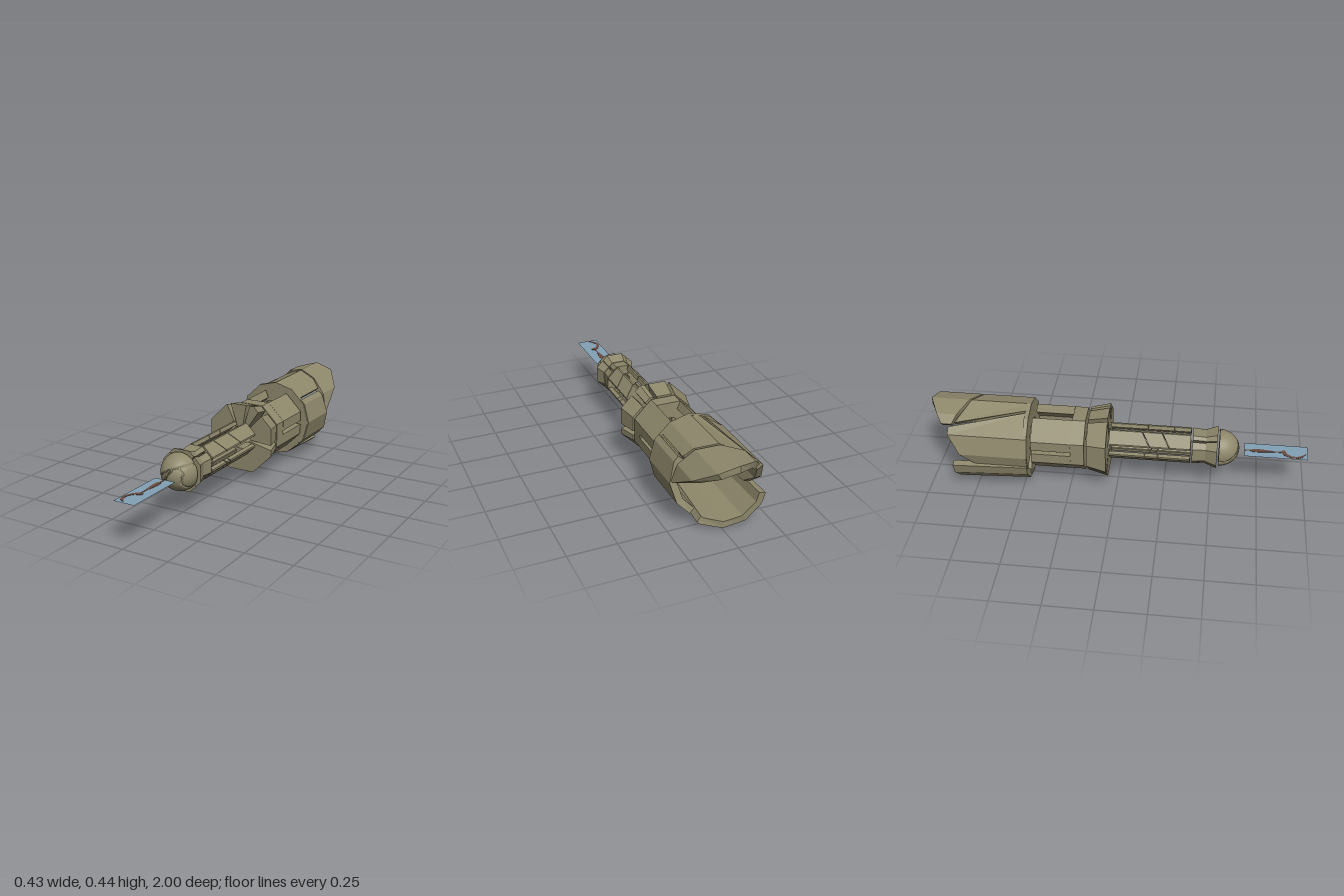
import * as THREE from 'three';

const stone = new THREE.MeshStandardMaterial({ color: 0x8e886b });
stone.name = 'weathered olive stone';
const blue = new THREE.MeshStandardMaterial({ color: 0x82a0b5, side: THREE.DoubleSide });
blue.name = 'pale blue';
const brown = new THREE.MeshStandardMaterial({ color: 0x6b4a40 });
brown.name = 'red brown';

const CX = 0.018, CY = 0.235;
const rad = Math.PI / 180;

// Curved wall piece of a polygonal tube lying along z.
// a0..a1: degrees counter-clockwise from +x; zf, zb: front and back z (number or rule of angle)
// r: apothems [outer front, outer back, inner front, inner back]
function shard(name, { sides = 8, vertexAt = 22.5, a0, a1, b0 = a0, b1 = a1, zf, zb, r, dx = 0, dy = 0 }) {
  const step = 360 / sides;
  const front = typeof zf === 'function' ? zf : () => zf;
  const back = typeof zb === 'function' ? zb : () => zb;
  const angles = [a0];
  for (let k = Math.ceil((a0 - vertexAt) / step); vertexAt + k * step < a1; k++) {
    const a = vertexAt + k * step;
    if (a > a0 + 0.5 && a < a1 - 0.5 && a > b0 + 0.5 && a < b1 - 0.5) angles.push(a);
  }
  angles.push(a1);
  const point = (ap, a, z) => {
    const off = ((((a - vertexAt) % step) + step) % step) - step / 2;
    const R = ap / Math.cos(off * rad);
    return [CX + dx + R * Math.cos(a * rad), CY + dy + R * Math.sin(a * rad), z];
  };
  const cols = angles.map((a, i) => {
    const b = i === 0 ? b0 : i === angles.length - 1 ? b1 : a;
    return [point(r[0], a, front(a)), point(r[1], b, back(b)), point(r[3], b, back(b)), point(r[2], a, front(a))];
  });
  const pos = [];
  const quad = (a, b, c, d) => pos.push(...a, ...b, ...c, ...a, ...c, ...d);
  for (let i = 0; i < cols.length - 1; i++) {
    for (let k = 0; k < 4; k++) {
      const n = (k + 1) % 4;
      quad(cols[i][k], cols[i][n], cols[i + 1][n], cols[i + 1][k]);
    }
  }
  const s = cols[0], e = cols[cols.length - 1];
  quad(s[3], s[2], s[1], s[0]);
  quad(e[0], e[1], e[2], e[3]);
  const g = new THREE.BufferGeometry();
  g.setAttribute('position', new THREE.Float32BufferAttribute(pos, 3));
  g.computeVertexNormals();
  const m = new THREE.Mesh(g, stone);
  m.name = name;
  return m;
}

// Piecewise-linear rule through [angle, z] pairs
const rule = (pts) => (a) => {
  let i = 0;
  while (i < pts.length - 2 && a > pts[i + 1][0]) i++;
  const [p, q] = [pts[i], pts[i + 1]];
  const t = Math.min(1, Math.max(0, (a - p[0]) / (q[0] - p[0])));
  return p[1] + (q[1] - p[1]) * t;
};

// Half ball with cracks sunk along polylines
function crackedBall() {
  const g = new THREE.SphereGeometry(0.097, 128, 56, 0, Math.PI * 2, 0, Math.PI / 2);
  g.rotateX(Math.PI / 2);
  const lines = [
    [[0.095, 0.052], [0.06, 0.055], [0.03, 0.045], [-0.02, 0.025], [-0.06, -0.005], [-0.09, -0.035]],
    [[0.02, 0.042], [-0.015, 0.0], [-0.035, -0.04], [-0.03, -0.095]],
    [[0.04, 0.048], [0.065, 0.02], [0.055, -0.03], [0.07, -0.07]],
  ].map((l) => l.map(([x, y]) => new THREE.Vector3(x, y, 0)));
  const p = g.attributes.position, v = new THREE.Vector3(), c = new THREE.Vector3(), seg = new THREE.Line3();
  for (let i = 0; i < p.count; i++) {
    v.fromBufferAttribute(p, i);
    const flat = new THREE.Vector3(v.x, v.y, 0);
    let d = 1;
    for (const l of lines) for (let k = 0; k + 1 < l.length; k++) {
      seg.set(l[k], l[k + 1]).closestPointToPoint(flat, true, c);
      d = Math.min(d, c.distanceTo(flat));
    }
    if (d < 0.0035) v.multiplyScalar(0.95);
    p.setXYZ(i, v.x, v.y, v.z * 1.1);
  }
  g.computeVertexNormals();
  const ball = new THREE.Group();
  ball.name = 'crackedBall';
  const back = new THREE.Mesh(new THREE.CircleGeometry(0.097, 48).rotateY(Math.PI), stone);
  back.name = 'ballBack';
  const dome = new THREE.Mesh(g, stone);
  dome.name = 'ballDome';
  ball.add(dome, back);
  ball.position.set(CX, CY, 0.535);
  return ball;
}

// Flat blue panel with a thin painted sickle on both faces
function panel() {
  const grp = new THREE.Group();
  grp.name = 'bluePanel';
  const plate = new THREE.Mesh(new THREE.PlaneGeometry(0.115, 0.33).rotateX(-Math.PI / 2), blue);
  plate.name = 'panelPlate';
  plate.position.set(0.0175, 0.232, 0.835);
  grp.add(plate);
  const paint = (name, pts) => {
    const shape = new THREE.Shape(pts.map(([x, z]) => new THREE.Vector2(x, -z)));
    const g = new THREE.ExtrudeGeometry(shape, { depth: 0.003, bevelEnabled: false });
    g.rotateX(-Math.PI / 2);
    const m = new THREE.Mesh(g, brown);
    m.name = name;
    m.position.y = 0.2305;
    grp.add(m);
  };
  paint('paintedShaft', [[0.009, 0.67], [0.009, 0.87], [0.017, 0.87], [0.017, 0.67]]);
  paint('paintedGrip', [[0.002, 0.71], [0.0, 0.75], [0.007, 0.81], [0.02, 0.81], [0.027, 0.75], [0.024, 0.71]]);
  paint('paintedBlade', [[0.03, 0.865], [0.01, 0.862], [-0.015, 0.88], [-0.033, 0.92], [-0.033, 0.95], [-0.02, 0.975],
    [0.008, 0.99], [-0.012, 0.962], [-0.02, 0.94], [-0.016, 0.915], [0.0, 0.893], [0.032, 0.88]]);
  return grp;
}

export function createModel() {
  const model = new THREE.Group();
  model.add(panel(), crackedBall());
  const add = (name, o) => model.add(shard(name, o));

  // Flared collar behind the ball
  for (const [a0, a1] of [[-40, 48], [50, 128], [130, 222], [224, 318]]) {
    add('collarFlare', { a0, a1, zf: 0.525, zb: 0.465, r: [0.107, 0.086, 0.04, 0.04] });
    add('collarBand', { a0: a0 + 3, a1: a1 - 2, zf: 0.465, zb: 0.395, r: [0.083, 0.09, 0.04, 0.04] });
  }

  // Four long corner slats, each cracked across at a slant
  for (let q = 0; q < 4; q++) {
    const a0 = 17 + q * 90, a1 = 73 + q * 90;
    const cuts = [0.385, 0.27 - q * 0.015, 0.13 + q * 0.02, -0.045];
    const slant = (z, s) => rule([[a0, z - s], [a1, z + s]]);
    for (let i = 0; i < 3; i++) {
      add('shaftSlat', {
        a0, a1, r: [0.09, 0.09, 0.07, 0.07],
        zf: slant(cuts[i] - (i ? 0.002 : 0), i ? 0.025 : 0),
        zb: slant(cuts[i + 1] + (i < 2 ? 0.002 : 0), i < 2 ? 0.025 : 0),
      });
    }
  }

  // Broken tapered ring
  for (const [a0, a1] of [[-5, 48], [56, 74], [80, 109], [116, 217], [225, 347]]) {
    add('ringWedge', { a0, a1, zf: -0.05, zb: -0.155, r: [0.185, 0.16, 0.06, 0.06] });
  }

  // Housing: a short full ring with slabs running back from its sides
  add('housingRing', { a0: -67.5, a1: 292.5, zf: -0.168, zb: -0.24, r: [0.157, 0.157, 0.07, 0.07] });
  for (const [a0, a1, m] of [[4, 67.5, 0], [-67.5, -4, 0], [112.5, 176, 1], [184, 247.5, 1]]) {
    add('housingSlab', { a0, a1, zf: -0.24, zb: -0.45, r: [0.157, 0.157, 0.115, 0.115], dx: m ? -0.001 : 0.001 });
  }

  // Large shattered shell at the back
  const tube = { sides: 12, vertexAt: 0, dx: -0.01 };
  const wall = [0.2, 0.2, 0.165, 0.165];
  add('shellFrontPlate', { ...tube, a0: -122, a1: 205, zf: -0.462, zb: -0.485, r: [0.2, 0.2, 0.1, 0.1] });
  add('leftShell', {
    ...tube, a0: 106, a1: 204, b0: 138, b1: 200, zf: -0.465, r: wall, dx: -0.015,
    zb: rule([[138, -0.88], [165, -0.88], [200, -0.74]]),
  });
  const split = rule([[0, -0.7], [45, -0.72], [90, -0.79], [135, -0.86]]);
  add('topShell', { ...tube, a0: 42, a1: 103, b0: 42, b1: 132, zf: -0.465, zb: (a) => split(a) + 0.006, r: wall });
  add('topPoint', {
    ...tube, a0: 3, a1: 135, zf: (a) => split(a) - 0.006, r: wall,
    zb: rule([[3, -0.725], [30, -0.88], [60, -0.985], [90, -1.0], [120, -0.95], [135, -0.92]]),
  });
  add('rightShell', {
    ...tube, a0: -52, a1: 39, zf: -0.465, r: wall, dx: -0.005,
    zb: rule([[-52, -0.76], [-20, -0.72], [39, -0.69]]),
  });
  add('bottomShell', {
    ...tube, a0: 194, a1: 304, zf: -0.465, r: [0.195, 0.21, 0.155, 0.175], dx: -0.025, dy: -0.018,
    zb: rule([[194, -0.86], [240, -0.85], [270, -0.83], [304, -0.79]]),
  });
  return model;
}
